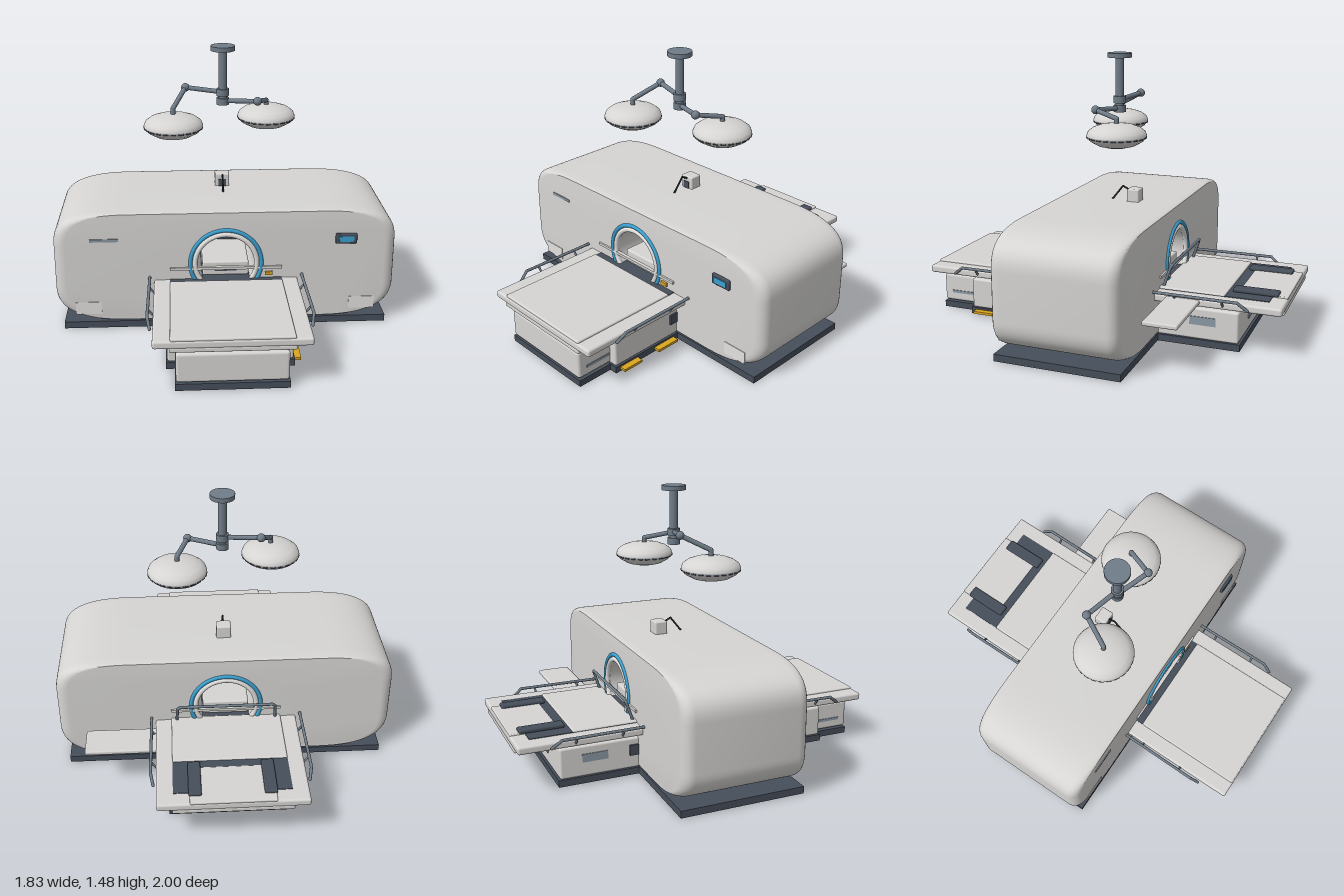
import * as THREE from 'three';
import { toCreasedNormals } from 'three/addons/utils/BufferGeometryUtils.js';
import { RoundedBoxGeometry } from 'three/addons/geometries/RoundedBoxGeometry.js';

const material = (name, color) => Object.assign(new THREE.MeshStandardMaterial({ color }), { name });

export function createModel() {
  const root = new THREE.Group();
  root.name = 'scannerSuite';
  const shell = material('light shell', 0xd6d5d3);
  const panel = material('pale panel', 0xe2e1df);
  const slate = material('dark slate', 0x464e5a);
  const metal = material('grey metal', 0x707c88);
  const trim = material('grey trim', 0x8c98a4);
  const blue = material('blue accent', 0x3a9fce);
  const yellow = material('yellow', 0xdaa520);
  const black = material('black', 0x25292e);

  const add = (name, geometry, mat, pos = [0, 0, 0], parent = root) => {
    const mesh = new THREE.Mesh(geometry, mat);
    mesh.name = name;
    mesh.position.set(...pos);
    parent.add(mesh);
    return mesh;
  };
  // Box given by its limits, rounded when r > 0
  const box = (name, mat, x0, x1, y0, y1, z0, z1, r = 0) => {
    const s = [x1 - x0, y1 - y0, z1 - z0];
    const g = r ? new RoundedBoxGeometry(...s, 3, r) : new THREE.BoxGeometry(...s);
    return add(name, g, mat, [(x0 + x1) / 2, (y0 + y1) / 2, (z0 + z1) / 2]);
  };
  // Round bar through points with straight runs
  const bar = (name, mat, points, r, parent = root) => {
    const path = new THREE.CurvePath();
    const v = points.map((p) => new THREE.Vector3(...p));
    const group = new THREE.Group();
    group.name = name;
    parent.add(group);
    for (let i = 1; i < v.length; i++) {
      path.add(new THREE.LineCurve3(v[i - 1], v[i]));
      add(name + 'Section', new THREE.TubeGeometry(path.curves[i - 1], 1, r, 12), mat, [0, 0, 0], group);
    }
    for (const p of v) add(name + 'Joint', new THREE.SphereGeometry(r, 12, 8), mat, p.toArray(), group);
  };

  // Main housing: rounded outline with a through bore
  const boreY = 0.369, boreR = 0.155;
  const outline = new THREE.Shape();
  outline.moveTo(-0.52, 0.04);
  outline.lineTo(0.52, 0.04);
  outline.bezierCurveTo(0.8, 0.04, 0.915, 0.09, 0.915, 0.23);
  outline.lineTo(0.915, 0.48);
  outline.bezierCurveTo(0.915, 0.61, 0.84, 0.665, 0.52, 0.665);
  outline.lineTo(-0.52, 0.665);
  outline.bezierCurveTo(-0.84, 0.665, -0.915, 0.61, -0.915, 0.48);
  outline.lineTo(-0.915, 0.23);
  outline.bezierCurveTo(-0.915, 0.09, -0.8, 0.04, -0.52, 0.04);
  const hole = new THREE.Path();
  hole.absarc(0, boreY, boreR, 0, Math.PI * 2, true);
  outline.holes.push(hole);
  const steps = 13, round = 0.06;
  const housing = new THREE.ExtrudeGeometry(outline, { depth: 1, steps, bevelEnabled: false, curveSegments: 28 });
  const p = housing.attributes.position;
  for (let i = 0; i < p.count; i++) {
    // Remap the layers to quarter arcs so the end corners are rounded
    const k = Math.round(p.getZ(i) * steps);
    const a = Math.min(k, steps - k) / 6 * Math.PI / 2;
    const z = 0.34 - round * (1 - Math.cos(a)), inset = round * (1 - Math.sin(a));
    const x = p.getX(i), y = p.getY(i);
    p.setZ(i, k <= 6 ? -z : z);
    if (Math.hypot(x, y - boreY) > 0.2) {
      p.setX(i, x - Math.sign(x) * inset * THREE.MathUtils.smoothstep(Math.abs(x), 0.5, 0.9));
      p.setY(i, y - Math.sign(y - 0.35) * inset * 0.12);
    }
  }
  add('housing', toCreasedNormals(housing, 0.6), shell);

  // Bore rings on both faces
  for (const s of [1, -1]) {
    add('boreAccentRing', new THREE.TorusGeometry(0.19, 0.011, 12, 64), blue, [0, boreY, s * 0.341]);
    add('boreLip', new THREE.TorusGeometry(0.165, 0.014, 12, 64), panel, [0, boreY, s * 0.338]);
    box('boreShelf', shell, -0.3, 0.3, 0.335, 0.35, s > 0 ? 0.33 : -0.35, s > 0 ? 0.35 : -0.33);
  }
  // Fittings inside the bore
  box('boreCradle', shell, -0.125, 0.125, 0.28, 0.36, -0.3, 0.3, 0.01);
  box('cradleSlot', slate, -0.06, 0.06, 0.307, 0.317, 0.3, 0.305);
  box('headSupport', slate, -0.148, 0.148, 0.36, 0.412, -0.12, 0);
  box('boreSensor', slate, -0.06, 0.06, 0.432, 0.492, -0.1, 0, 0.008);
  box('sensorMount', slate, -0.02, 0.02, 0.49, 0.522, -0.08, -0.02);
  for (const s of [1, -1]) box('sensorWing', panel, s * 0.08 - 0.02, s * 0.08 + 0.02, 0.45, 0.48, -0.08, -0.04);

  // Front face details
  box('displayFrame', slate, 0.585, 0.7, 0.473, 0.53, 0.33, 0.354, 0.006);
  box('displayScreen', blue, 0.605, 0.682, 0.486, 0.516, 0.352, 0.357);
  box('ventStrip', trim, -0.72, -0.57, 0.506, 0.522, 0.338, 0.345);
  for (const s of [1, -1]) box('accessPanel', panel, s * 0.74 - 0.07, s * 0.74 + 0.07, 0.085, 0.155, 0.335, 0.343);
  box('warningLabel', yellow, 0.21, 0.25, 0.298, 0.318, 0.34, 0.352);

  // Cross-shaped floor plate
  box('floorPlateWide', slate, -0.875, 0.875, 0, 0.038, -0.34, 0.34);
  box('floorPlateLong', slate, -0.325, 0.325, 0, 0.037, -0.78, 0.78);
  box('floorPlateFront', slate, -0.28, 0.28, 0, 0.036, 0.77, 0.98);
  for (const [z0, z1] of [[0.37, 0.51], [0.63, 0.75]]) box('footPedal', yellow, 0.32, 0.36, 0.012, 0.026, z0, z1);

  // Pedestals in front and behind
  box('frontPedestal', shell, -0.318, 0.318, 0.036, 0.205, 0.3, 0.775, 0.012);
  box('frontPedestalNose', shell, -0.275, 0.275, 0.042, 0.2, 0.7, 0.98, 0.015);
  box('rearPedestal', shell, -0.318, 0.318, 0.036, 0.205, -0.77, -0.3, 0.012);
  box('frontColumn', trim, -0.26, 0.26, 0.19, 0.228, 0.34, 0.93);
  box('rearColumn', trim, -0.26, 0.26, 0.19, 0.228, -0.72, -0.34);
  for (const s of [1, -1]) {
    box('noseStripe', trim, s * 0.275 - 0.004, s * 0.275 + 0.004, 0.09, 0.105, 0.78, 0.93);
    box('rearSidePanel', trim, s * 0.318 - 0.004, s * 0.318 + 0.004, 0.115, 0.16, -0.65, -0.51);
    for (const z of [0.365, -0.365]) box('sideLatch', slate, s * 0.32 - 0.008, s * 0.32 + 0.008, 0.11, 0.168, z - 0.025, z + 0.025);
  }
  box('rearPanel', trim, -0.1, 0.1, 0.1, 0.15, -0.774, -0.766);

  // Tables
  for (const [z0, z1] of [[0.33, 1], [-1, -0.33]]) {
    box('tableTop', shell, -0.385, 0.385, 0.238, 0.279, z0, z1, 0.012);
    box('tableUnderside', shell, -0.305, 0.305, 0.218, 0.245, z0, z1, 0.008);
  }
  box('tableTrack', slate, -0.3, 0.3, 0.27, 0.282, -0.92, 0.38);
  box('frontPad', shell, -0.3, 0.3, 0.272, 0.29, 0.38, 0.995, 0.008);
  box('rearPad', shell, -0.3, 0.3, 0.272, 0.29, -0.69, -0.33, 0.008);
  box('rearPlate', shell, -0.218, 0.218, 0.272, 0.287, -0.998, -0.74, 0.006);
  for (const s of [1, -1]) {
    box('armPad', slate, s * 0.19 - 0.033, s * 0.19 + 0.033, 0.28, 0.302, -0.95, -0.71, 0.009);
    // Side rails along both tables
    for (const f of [1, -1]) {
      bar('sideRail', metal, [[s * 0.408, 0.295, f * 0.34], [s * 0.412, 0.295, f * 0.78], [s * 0.4, 0.255, f * 0.83]], 0.008);
      for (const z of [0.45, 0.7]) bar('railBracket', metal, [[s * 0.41, 0.293, f * z], [s * 0.38, 0.255, f * z]], 0.006);
    }
  }
  box('sideTray', shell, 0.3, 0.76, 0.25, 0.274, -0.58, -0.4, 0.008);

  // Rear grab handle
  bar('rearHandle', metal, [[-0.27, 0.285, -0.352], [-0.265, 0.385, -0.385], [-0.25, 0.402, -0.392],
    [0.25, 0.402, -0.392], [0.265, 0.385, -0.385], [0.27, 0.285, -0.352]], 0.008);

  // Roof sensor and its bent rod
  box('roofSensor', shell, -0.04, 0.04, 0.655, 0.735, -0.125, -0.055, 0.008);
  box('roofSensorFace', slate, -0.02, 0.02, 0.665, 0.705, -0.056, -0.05);
  bar('roofRod', black, [[0, 0.66, 0.045], [0, 0.742, -0.02], [0, 0.722, -0.058]], 0.005);

  // Ceiling lamps
  const lamps = new THREE.Group();
  lamps.name = 'ceilingLamps';
  root.add(lamps);
  const drum = (name, r, y0, y1) => add(name, new THREE.CylinderGeometry(r, r, y1 - y0, 32), metal, [0, (y0 + y1) / 2, 0], lamps);
  drum('ceilingMount', 0.066, 1.45, 1.475);
  drum('ceilingPole', 0.023, 1.16, 1.46);
  drum('upperSwivel', 0.033, 1.203, 1.242);
  drum('lowerSwivel', 0.033, 1.155, 1.192);
  const dishProfile = [[0, -0.065], [0.05, -0.062], [0.1, -0.049], [0.14, -0.026], [0.157, -0.004], [0.158, 0.004],
    [0.15, 0.024], [0.125, 0.043], [0.085, 0.057], [0.04, 0.064], [0, 0.066]].map(([r, y]) => new THREE.Vector2(r, y));
  for (const [hubY, elbow, end] of [
    [1.222, [-0.2, 1.238, -0.05], [-0.268, 1.162, 0.097]],
    [1.174, [0.183, 1.186, 0.067], [0.243, 1.155, -0.076]],
  ]) {
    const [x, y, z] = end;
    bar('lampArm', metal, [[0, hubY, 0], elbow, end, [x, 1.12, z]], 0.013, lamps);
    add('armElbow', new THREE.SphereGeometry(0.023, 20, 14), metal, elbow, lamps);
    add('lampDish', new THREE.LatheGeometry(dishProfile, 48), shell, [x, 1.066, z], lamps);
    // Notched rim around the dish
    for (let i = 0; i < 24; i++) {
      const a = i / 24 * Math.PI * 2;
      const notch = add('rimNotch', new THREE.BoxGeometry(0.008, 0.007, 0.027), slate,
        [x + Math.cos(a) * 0.154, 1.06, z + Math.sin(a) * 0.154], lamps);
      notch.rotation.y = -a;
    }
  }
  return root;
}
